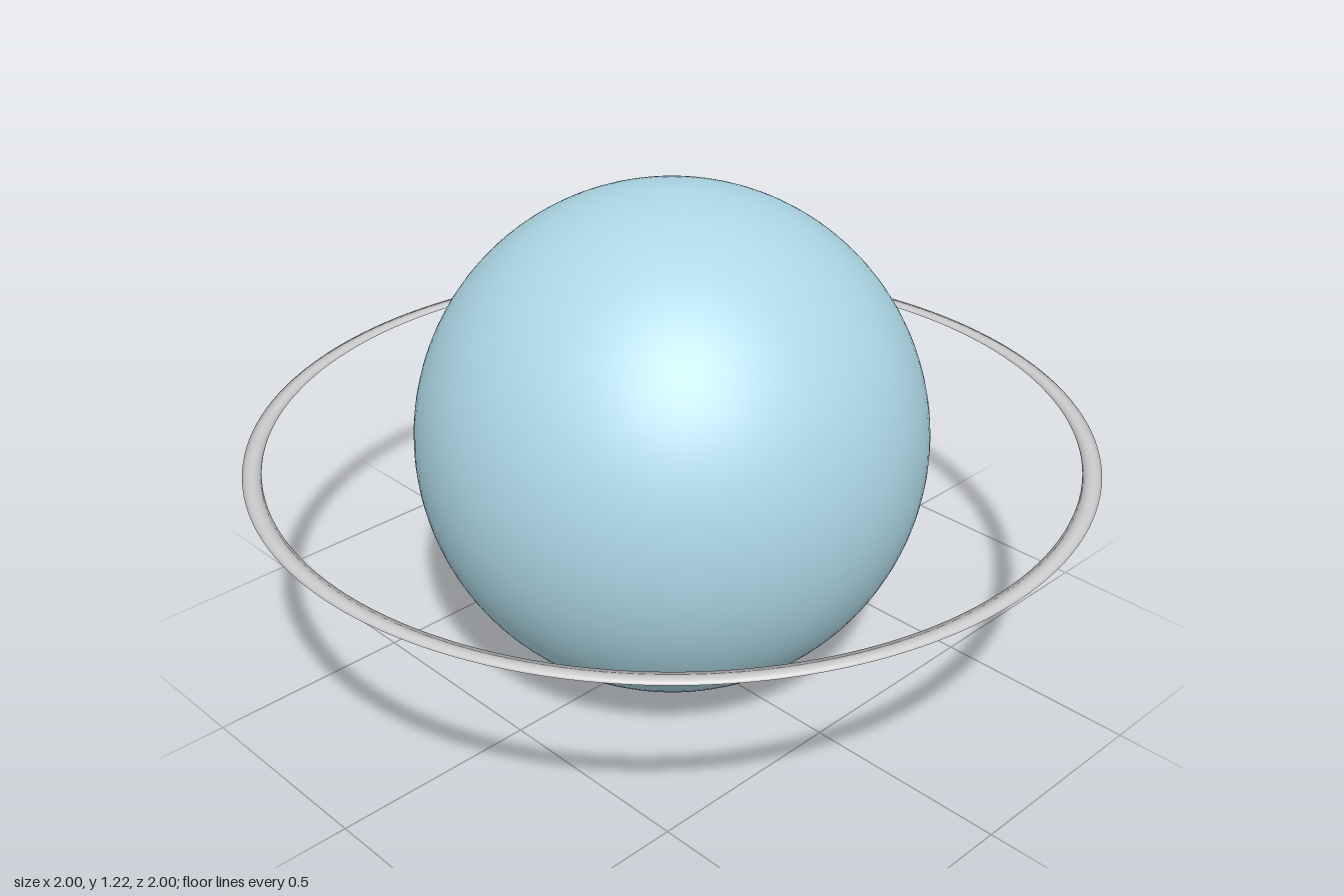
import * as THREE from 'three';

const RADIUS = 0.608;
const RING_RADIUS = 0.978;
const RING_TUBE = 0.022;
const RING_FLATNESS = 0.1;

export function createModel() {
  const model = new THREE.Group();
  model.name = 'ringedPlanet';

  // Planet globe resting on the ground plane
  const globe = new THREE.Mesh(
    new THREE.SphereGeometry(RADIUS, 96, 64),
    new THREE.MeshStandardMaterial({ color: 0xadd8e6 })
  );
  globe.name = 'planetGlobe';
  globe.position.y = RADIUS;
  model.add(globe);

  // Equatorial ring: a torus squashed almost flat, keeping its rounded normals
  const ringGeometry = new THREE.TorusGeometry(RING_RADIUS, RING_TUBE, 24, 160);
  ringGeometry.rotateX(-Math.PI / 2);
  const position = ringGeometry.attributes.position;
  for (let i = 0; i < position.count; i++) {
    position.setY(i, position.getY(i) * RING_FLATNESS);
  }
  const ring = new THREE.Mesh(
    ringGeometry,
    new THREE.MeshStandardMaterial({ color: 0xcccccc })
  );
  ring.name = 'planetRing';
  ring.position.y = RADIUS;
  model.add(ring);

  return model;
}
